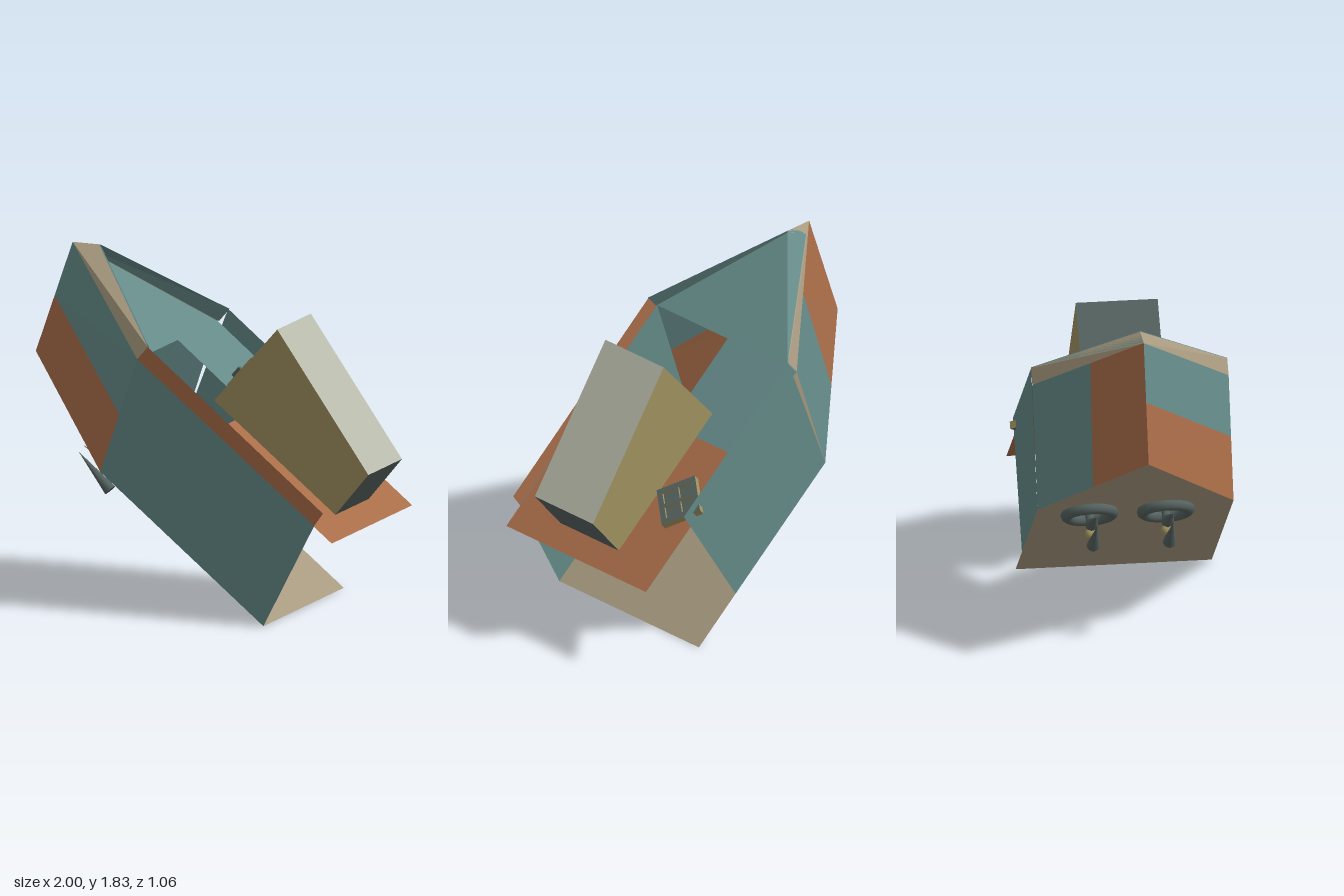
import * as THREE from 'three';

const make = (name, color) => {
  const m = new THREE.MeshStandardMaterial({ color, side: THREE.DoubleSide });
  m.name = name;
  return m;
};

export function createModel() {
  const teal = make('teal', 0x648a88);
  const brown = make('brown', 0xa86c48);
  const tan = make('tan', 0xa89a80);
  const cream = make('cream', 0xbabcac);
  const gold = make('gold', 0xa09160);
  const charcoal = make('charcoal', 0x55625f);

  const boat = new THREE.Group();
  boat.name = 'boat';
  const PORT = 0.52, STAR = -0.51, SLOPE = Math.atan2(0.8, 1.01);

  const add = (name, geo, mat, parent = boat) => {
    const mesh = new THREE.Mesh(geo, mat);
    mesh.name = name;
    parent.add(mesh);
    return mesh;
  };
  // flat convex panel through the given corners
  const panel = (name, mat, pts) => {
    const v = [];
    for (let i = 1; i < pts.length - 1; i++) v.push(...pts[0], ...pts[i], ...pts[i + 1]);
    const g = new THREE.BufferGeometry();
    g.setAttribute('position', new THREE.Float32BufferAttribute(v, 3));
    g.computeVertexNormals();
    return add(name, g, mat);
  };
  // panel in a side profile at one z
  const side = (name, mat, z, pts) => panel(name, mat, pts.map(([x, y]) => [x, y, z]));
  // panel spanning two profile points across the width
  const strip = (name, mat, [ax, ay], [bx, by], z0 = STAR, z1 = PORT) =>
    panel(name, mat, [[ax, ay, z1], [bx, by, z1], [bx, by, z0], [ax, ay, z0]]);
  const mid = (a, b, t) => a.map((v, i) => v + (b[i] - v) * t);

  // hull sides
  side('leftHullSide', teal, PORT, [[-0.4, 0.75], [0.53, 0.01], [0.82, 0.57], [-0.19, 1.37]]);
  side('leftRail', brown, PORT, [[-0.19, 1.37], [0.82, 0.57], [0.87, 0.64], [-0.13, 1.44]]);
  side('rightHullSide', teal, STAR, [[-0.4, 0.75], [0.26, 0.225], [0.64, 0.824], [-0.13, 1.44]]);

  // floor and decks
  strip('floor', tan, [-0.4, 0.75], [0.53, 0.01]);
  const stemLow = [-1, 1.24, 0], stemTop = [-0.79, 1.84, 0], rimTop = [-0.64, 1.84, 0];
  panel('bowFloor', tan, [stemLow, [-0.4, 0.75, PORT], [-0.4, 0.75, STAR]]);
  strip('aftDeck', brown, [0.24, 1.025], [0.92, 0.485]);
  strip('halfHatch', teal, [-0.19, 1.37], [0.24, 1.025], STAR, 0);
  panel('foreDeck', teal, [stemTop, [-0.19, 1.37, PORT], [-0.19, 1.37, STAR]]);

  // bow: left painted in long bands, right in fore and aft halves
  const bowCorners = (z) => [[-0.4, 0.75, z], [-0.19, 1.37, z]];
  {
    const [low, top] = bowCorners(PORT);
    const a = mid(stemLow, stemTop, 0.51), b = mid(low, top, 0.51);
    panel('leftBowLower', brown, [stemLow, low, b, a]);
    panel('leftBowUpper', teal, [a, b, top, stemTop]);
  }
  {
    const [low, top] = bowCorners(STAR);
    const a = mid(stemLow, low, 0.5), b = mid(stemTop, top, 0.48);
    panel('rightBowFore', brown, [stemLow, a, b, stemTop]);
    panel('rightBowAft', teal, [a, low, top, b]);
  }

  // bow bulwark with a teal lining
  for (const z of [PORT, STAR]) {
    const pts = [stemTop, [-0.19, 1.37, z], [-0.13, 1.44, z], rimTop];
    panel('bulwark', tan, pts);
    panel('bulwarkLining', teal, pts).position.x = 0.008;
  }

  // cabin
  const A = [0.12, 1.12], B = [0.48, 1.53], C = [1.0, 0.8], D = [0.81, 0.57];
  const z0 = -0.2, z1 = 0.23;
  for (const z of [z0, z1]) side('cabinSide', gold, z, [A, D, C, B]);
  strip('cabinFront', charcoal, A, B, z0, z1);
  strip('cabinRoof', cream, B, C, z0, z1);
  strip('cabinBack', charcoal, C, D, z0, z1);

  // cabin door with handle, lying on the front wall
  const door = new THREE.Group();
  door.name = 'cabinDoor';
  door.position.set(0.225, 1.245, 0.02);
  door.rotation.z = Math.atan2(B[1] - A[1], B[0] - A[0]);
  boat.add(door);
  add('doorSlab', new THREE.BoxGeometry(0.21, 0.03, 0.18),
    [gold, gold, charcoal, charcoal, gold, gold], door).position.y = 0.008;
  add('doorHandle', new THREE.BoxGeometry(0.06, 0.025, 0.02), charcoal, door).position.set(-0.03, 0.033, 0.05);

  // four-pane window lying on the deck
  const win = new THREE.Group();
  win.name = 'deckWindow';
  win.position.set(0.54, 0.825, -0.38);
  win.rotation.z = -SLOPE;
  boat.add(win);
  const square = (Type, x, y, r) => new Type([[-r, -r], [r, -r], [r, r], [-r, r]]
    .map(([u, v]) => new THREE.Vector2(x + u, y + v)));
  const frame = square(THREE.Shape, 0, 0, 0.112);
  for (const x of [-0.046, 0.046]) for (const y of [-0.046, 0.046])
    frame.holes.push(square(THREE.Path, x, y, 0.036));
  const frameGeo = new THREE.ExtrudeGeometry(frame, { depth: 0.04, bevelEnabled: false });
  frameGeo.translate(0, 0, -0.02).rotateX(-Math.PI / 2).rotateY(0.8);
  add('windowFrame', frameGeo, [charcoal, gold], win);
  add('windowPanes', new THREE.BoxGeometry(0.2, 0.008, 0.2).rotateY(0.8), charcoal, win);

  // two ring-mounted propellers beneath the hull
  const cone = (parent, tip, base) => {
    const t = new THREE.Vector3(...tip, 0), b = new THREE.Vector3(...base, 0);
    const dir = t.clone().sub(b);
    const m = add('blade', new THREE.ConeGeometry(0.035, dir.length(), 8), charcoal, parent);
    m.position.copy(t).add(b).multiplyScalar(0.5);
    m.quaternion.setFromUnitVectors(new THREE.Vector3(0, 1, 0), dir.normalize());
  };
  for (const z of [-0.23, 0.17]) {
    const prop = new THREE.Group();
    prop.name = 'propeller';
    prop.position.z = z;
    boat.add(prop);
    const ring = add('ring', new THREE.TorusGeometry(0.12, 0.032, 10, 28).rotateX(Math.PI / 2), charcoal, prop);
    ring.position.set(-0.35, 0.69, 0);
    ring.rotation.z = -SLOPE;
    const shaft = add('shaft', new THREE.CylinderGeometry(0.022, 0.022, 0.1, 12), charcoal, prop);
    shaft.position.set(-0.38, 0.65, 0);
    shaft.rotation.z = -SLOPE;
    add('hub', new THREE.SphereGeometry(0.034, 16, 12), gold, prop).position.set(-0.42, 0.605, 0);
    cone(prop, [-0.65, 0.8], [-0.43, 0.665]);
    cone(prop, [-0.68, 0.765], [-0.5, 0.575]);
  }
  return boat;
}
